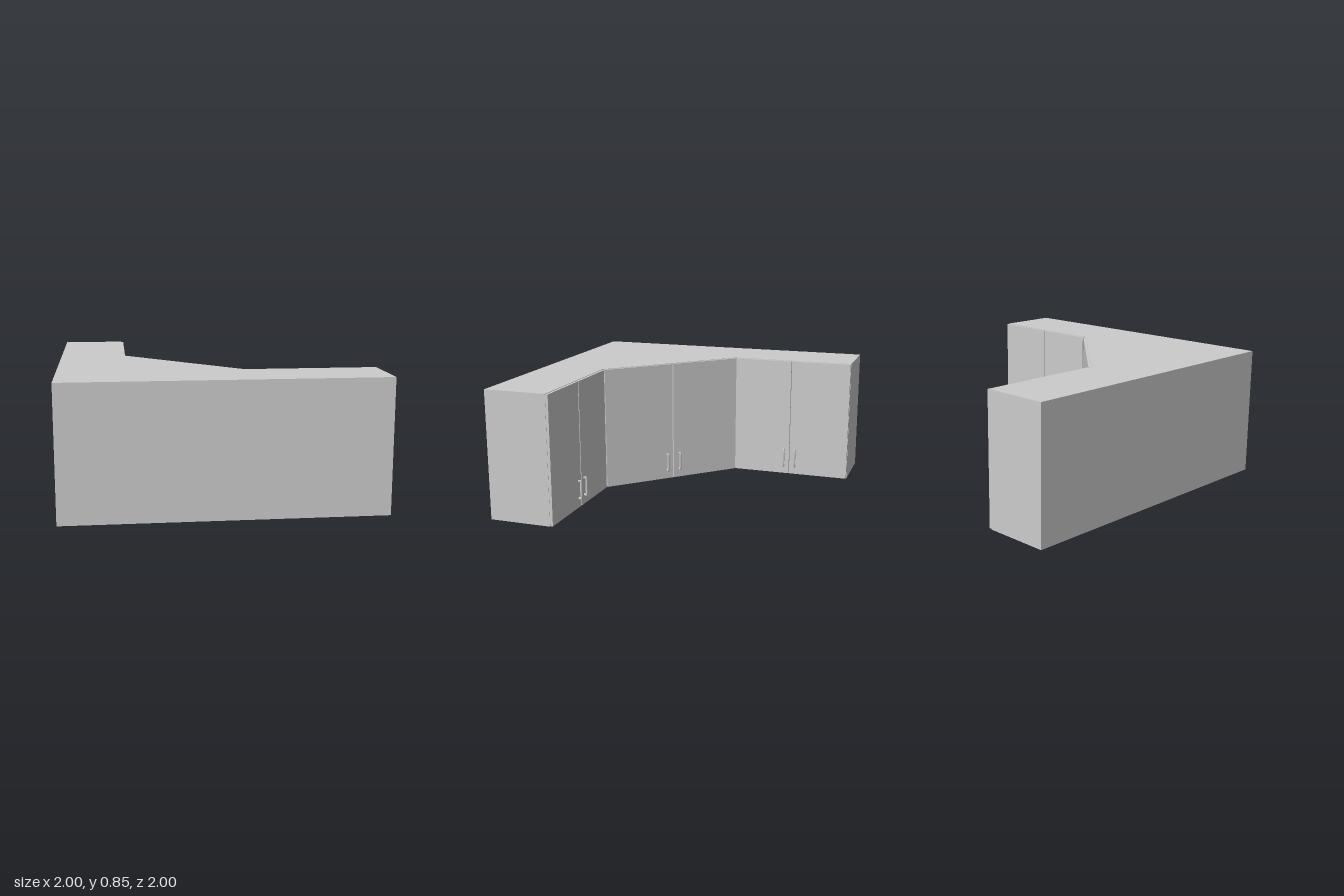
import * as THREE from 'three';

const HEIGHT = 0.845;
const THICK = 0.018; // door thickness
const mat = new THREE.MeshStandardMaterial({ color: 0xcccccc });

function mesh(name, geometry, parent) {
  const m = new THREE.Mesh(geometry, mat);
  m.name = name;
  parent.add(m);
  return m;
}

// Bow handle: standing off the door, rounded into both ends
const handlePath = new THREE.CatmullRomCurve3([
  [0.058, -0.004], [0.058, 0.006], [0.064, 0.014], [0.052, 0.018], [0, 0.018],
  [-0.052, 0.018], [-0.064, 0.014], [-0.058, 0.006], [-0.058, -0.004],
].map(([y, z]) => new THREE.Vector3(0, y, z)));
const handleGeometry = new THREE.TubeGeometry(handlePath, 48, 0.0075, 10);

// A pair of doors; local +z faces out of the cabinet, the gap is at local x = 0
function doorPair(name, x, z, angle, negWidth, posWidth, handleOffset) {
  const group = new THREE.Group();
  group.name = name;
  group.position.set(x, 0, z);
  group.rotation.y = angle;
  for (const [side, width] of [[-1, negWidth], [1, posWidth]]) {
    const gap = 0.004;
    const door = mesh('door', new THREE.BoxGeometry(width - gap, HEIGHT - 0.006, THICK), group);
    door.position.set(side * (width + gap) / 2, HEIGHT / 2, -THICK / 2);
    mesh('handle', handleGeometry, group).position.set(side * handleOffset, 0.125, 0);
  }
  return group;
}

export function createModel() {
  const model = new THREE.Group();
  model.name = 'cornerCabinet';

  // Carcass: corner footprint with a diagonal front, given as (x, z)
  const face = 0.566;
  const back = face + THICK;
  const corner = 0.158;
  const footprint = [
    [-1, -1], [-back, -1], [-back, -corner], [corner, back], [1, back], [1, 1], [-1, 1],
  ];
  const shape = new THREE.Shape(footprint.map(([x, z]) => new THREE.Vector2(x, -z)));
  const carcass = new THREE.ExtrudeGeometry(shape, { depth: HEIGHT, bevelEnabled: false });
  carcass.rotateX(-Math.PI / 2);
  mesh('carcass', carcass, model);

  // Door fronts on the two wings and the diagonal
  const mid = 0.578;
  const long = 0.998 - mid;
  const short = mid - 0.172;
  model.add(
    doorPair('rightWingDoors', -face, -mid, Math.PI / 2, short, long, 0.041),
    doorPair('diagonalDoors', -0.2, 0.2, Math.PI * 3 / 4, 0.515, 0.515, 0.048),
    doorPair('leftWingDoors', mid, face, Math.PI, long, short, 0.041),
  );
  return model;
}
